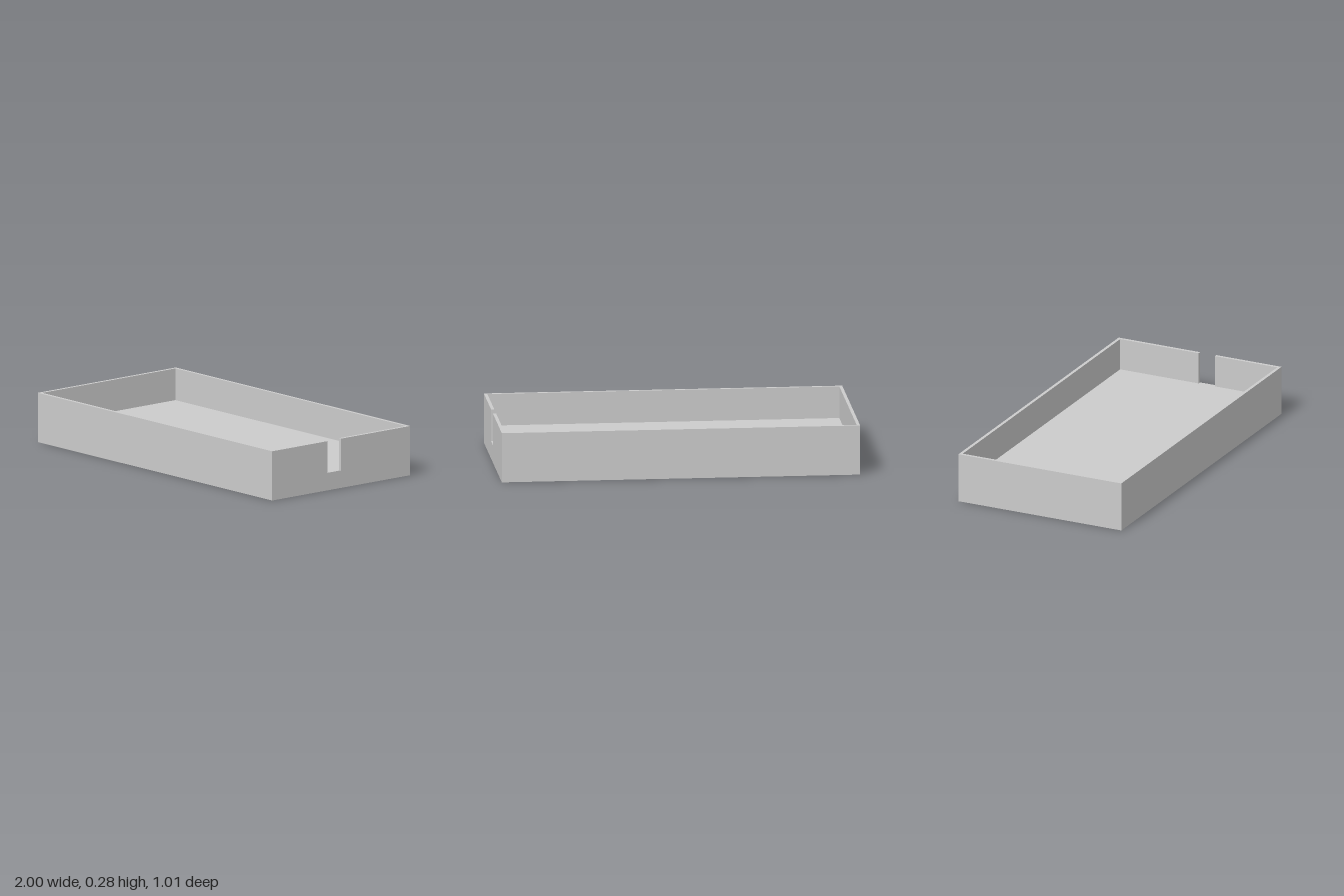
import * as THREE from 'three';

const WIDTH = 2, DEPTH = 1.01, HEIGHT = 0.28;
const WALL = 0.018;            // wall thickness
const FLOOR = 0.1;             // floor thickness, also the bottom of the slot
const SLOT = [0, 0.1];         // z range of the slot in the +x wall

export function createModel() {
  const model = new THREE.Group();
  model.name = 'openTray';
  const material = new THREE.MeshStandardMaterial({ color: 0xcccccc, flatShading: true });

  // Thick solid floor
  const floor = new THREE.Mesh(new THREE.BoxGeometry(WIDTH, FLOOR, DEPTH), material);
  floor.name = 'floor';
  floor.position.y = FLOOR / 2;
  model.add(floor);

  // Thin rim wall: one C-shaped outline, open at the slot (shape y is -z)
  const x = WIDTH / 2, z = DEPTH / 2, xi = x - WALL, zi = z - WALL;
  const [z0, z1] = SLOT;
  const outline = [
    [x, -z0], [x, z], [-x, z], [-x, -z], [x, -z], [x, -z1],
    [xi, -z1], [xi, -zi], [-xi, -zi], [-xi, zi], [xi, zi], [xi, -z0],
  ].map(([a, b]) => new THREE.Vector2(a, b));
  const wallGeometry = new THREE.ExtrudeGeometry(new THREE.Shape(outline), {
    depth: HEIGHT - FLOOR, bevelEnabled: false,
  });
  wallGeometry.rotateX(-Math.PI / 2);
  const walls = new THREE.Mesh(wallGeometry, material);
  walls.name = 'slottedWalls';
  walls.position.y = FLOOR;
  model.add(walls);

  return model;
}
